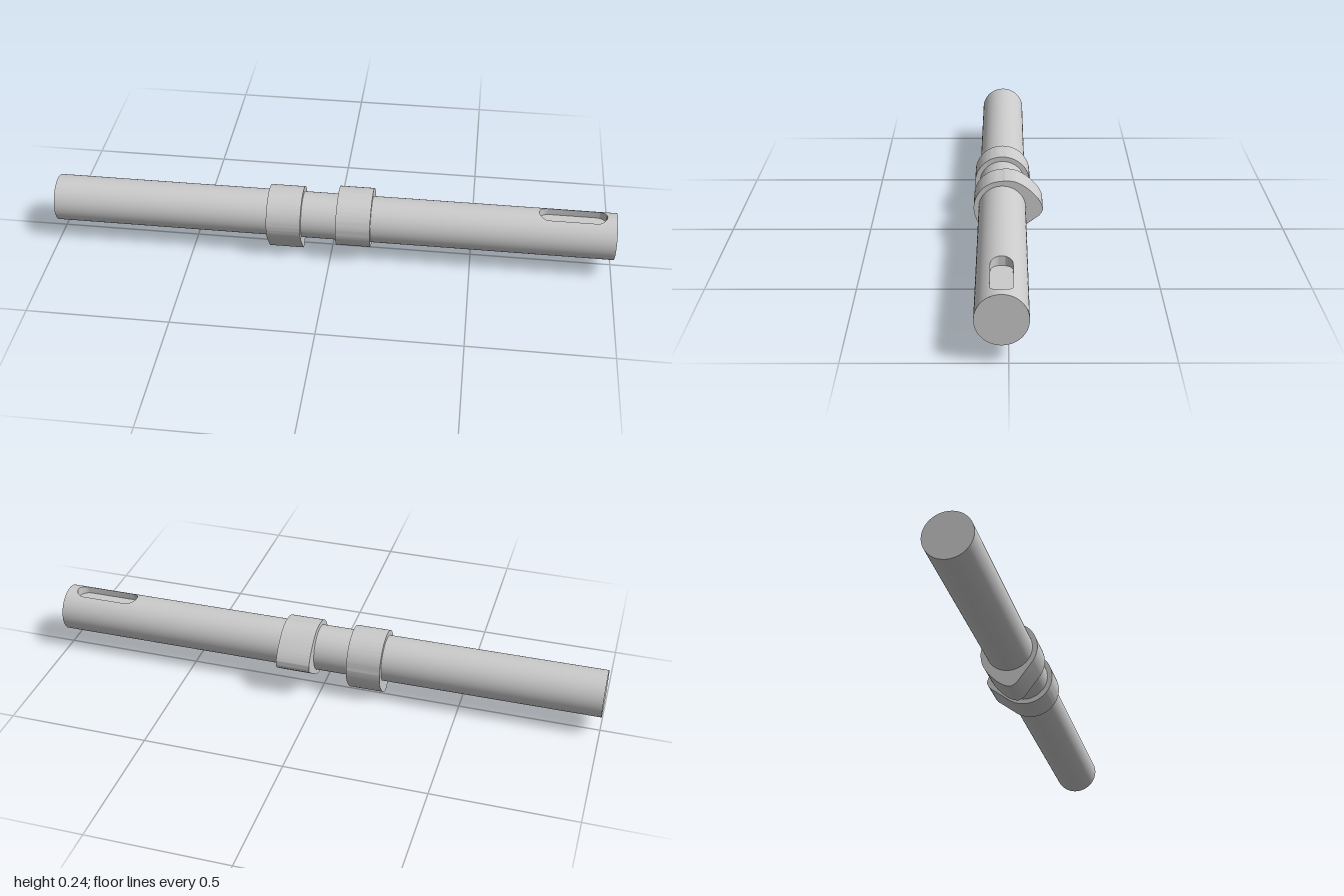
import * as THREE from 'three';
import { toCreasedNormals } from 'three/addons/utils/BufferGeometryUtils.js';

const R = 0.0825;                                            // shaft radius
const SLOT = { w: 0.035, x0: 0.765, x1: 0.93, floor: 0.05 }; // keyway half width, end centres, floor height
const steel = new THREE.MeshStandardMaterial({ color: 0xcccccc });

function addMesh(parent, name, geometry) {
  const mesh = new THREE.Mesh(geometry, steel);
  mesh.name = name;
  parent.add(mesh);
  return mesh;
}

// Collects quads given by four corners, counter-clockwise from outside
function quadGeometry(quads) {
  const pos = [];
  for (const [a, b, c, d] of quads) for (const p of [a, b, c, a, c, d]) pos.push(...p);
  const geometry = new THREE.BufferGeometry();
  geometry.setAttribute('position', new THREE.Float32BufferAttribute(pos, 3));
  return geometry;
}

// Shaft along x, its skin left open around a round-ended keyway on top
function makeShaft() {
  const shaft = new THREE.Group();
  shaft.name = 'shaft';
  const n = 24, m = 64;
  const skin = [], walls = [], floor = [], start = [], end = [];
  const point = (x, a) => [x, R * Math.cos(a), R * Math.sin(a)];
  const lower = ([x, , z]) => [x, SLOT.floor, z];

  // Rim of the keyway, sampled evenly around its round ends
  const angles = [];
  for (let i = 0; i <= n; i++) {
    const t = -Math.PI / 2 + (Math.PI * i) / n;
    const a = Math.asin((SLOT.w * Math.sin(t)) / R);
    angles.push(a);
    start.push(point(SLOT.x0 - SLOT.w * Math.cos(t), a));
    end.push(point(SLOT.x1 + SLOT.w * Math.cos(t), a));
  }
  for (let i = 0; i < n; i++) {
    const a = angles[i], b = angles[i + 1];
    skin.push([point(-1, a), point(-1, b), start[i + 1], start[i]]);
    skin.push([end[i], end[i + 1], point(1, b), point(1, a)]);
    floor.push([start[i], start[i + 1], end[i + 1], end[i]].map(lower));
  }
  const rim = [...start, ...end.reverse()];
  rim.forEach((p, i) => {
    const q = rim[(i + 1) % rim.length];
    walls.push([p, q, lower(q), lower(p)]);
  });

  // Rest of the round skin
  const edge = angles[n], sweep = 2 * Math.PI - 2 * edge;
  for (let i = 0; i < m; i++) {
    const a = edge + (sweep * i) / m, b = edge + (sweep * (i + 1)) / m;
    skin.push([point(-1, a), point(-1, b), point(1, b), point(1, a)]);
  }

  const skinGeometry = quadGeometry(skin);
  const p = skinGeometry.attributes.position, normals = [];
  for (let i = 0; i < p.count; i++) normals.push(0, p.getY(i) / R, p.getZ(i) / R);
  skinGeometry.setAttribute('normal', new THREE.Float32BufferAttribute(normals, 3));
  addMesh(shaft, 'shaftSkin', skinGeometry);
  addMesh(shaft, 'keywayWalls', toCreasedNormals(quadGeometry(walls), 0.6));
  addMesh(shaft, 'keywayFloor', toCreasedNormals(quadGeometry(floor), 0.6));

  for (const side of [-1, 1]) {
    const cap = addMesh(shaft, side > 0 ? 'leftEnd' : 'rightEnd', new THREE.CircleGeometry(R, 96));
    cap.rotation.y = (side * Math.PI) / 2;
    cap.position.x = side;
  }
  return shaft;
}

// Cam lobe: base circle, bulged flank, rounded nose and a straight flank
function makeCam(parent, name, x, width, turn) {
  const shape = new THREE.Shape();
  shape.absarc(0, 0, 0.1, -0.985, 1.6, true);
  shape.splineThru([
    [0.015, 0.102], [0.05, 0.096], [0.085, 0.076], [0.117, 0.046], [0.134, 0.022],
    [0.142, 0], [0.139, -0.014], [0.13, -0.027],
  ].map(([u, v]) => new THREE.Vector2(u, v)));
  shape.closePath();
  const geometry = new THREE.ExtrudeGeometry(shape, { depth: width, bevelEnabled: false, curveSegments: 24 });
  geometry.rotateZ(turn).rotateY(Math.PI / 2);
  addMesh(parent, name, toCreasedNormals(geometry, 0.6)).position.x = x;
}

export function createModel() {
  const model = new THREE.Group();
  model.name = 'camshaft';
  const axis = new THREE.Group();
  axis.name = 'shaftAssembly';
  axis.position.set(0, 0.142, 0.021);
  model.add(axis);

  axis.add(makeShaft());
  makeCam(axis, 'rightCam', -0.225, 0.122, -Math.PI / 2);
  makeCam(axis, 'leftCam', 0.022, 0.122, 0);
  return model;
}
